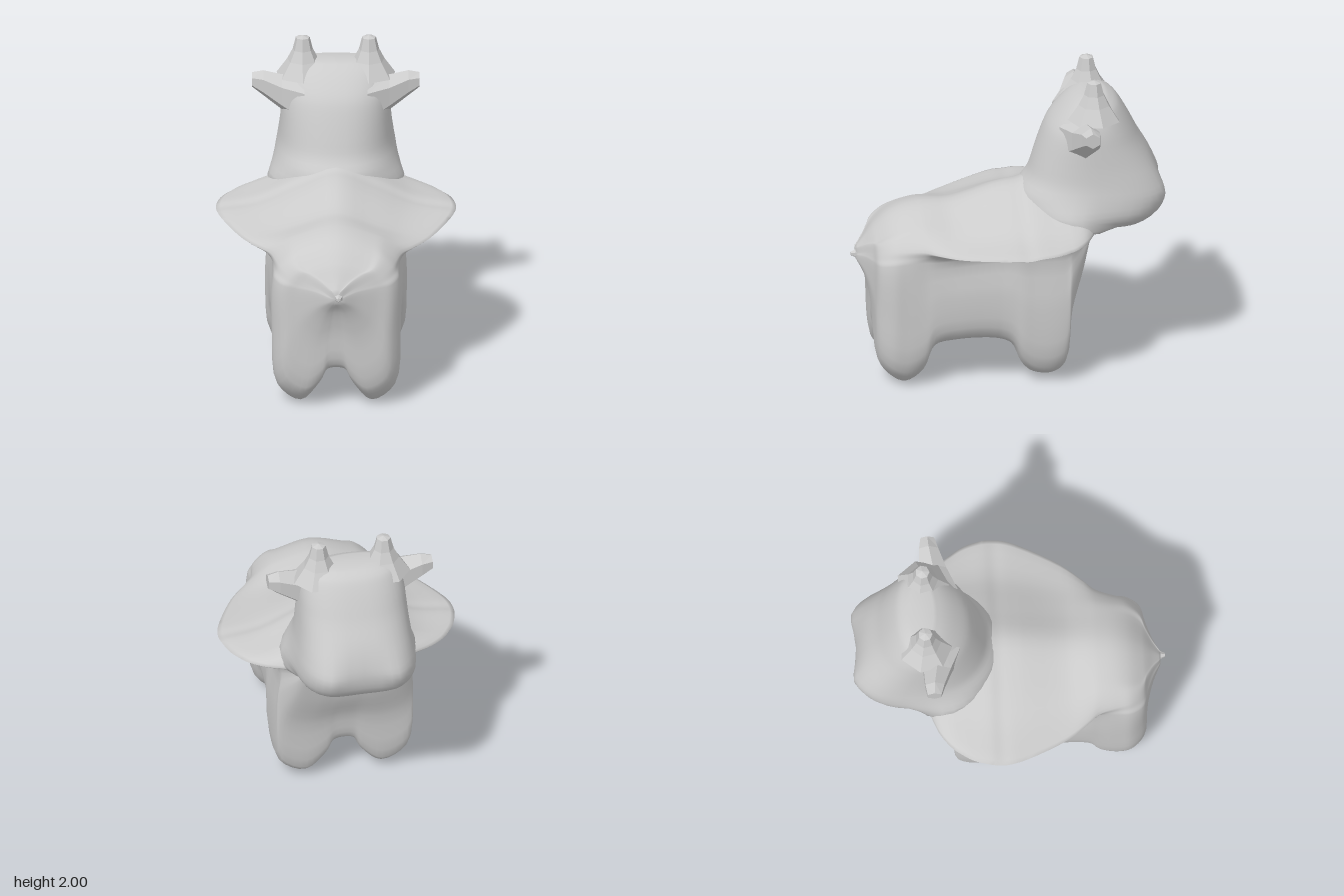
import * as THREE from 'three';

const smooth = new THREE.MeshStandardMaterial({ color: 0xcccccc, side: THREE.DoubleSide });
const faceted = new THREE.MeshStandardMaterial({ color: 0xcccccc, flatShading: true });

const V = (x, y, z) => new THREE.Vector3(x, y, z);
const { lerp } = THREE.MathUtils;

// Insert spline points along a list of points
function refine(points, closed, steps) {
  const curve = new THREE.CatmullRomCurve3(points, closed, 'centripetal');
  const n = (closed ? points.length : points.length - 1) * steps;
  return Array.from({ length: closed ? n : n + 1 }, (_, i) => curve.getPoint(i / n));
}

// Skin closed rings into a surface with both ends capped
function loft(rings, around = 1, along = 1) {
  if (around > 1) rings = rings.map(r => refine(r, true, around));
  if (along > 1) {
    const columns = rings[0].map((_, j) => refine(rings.map(r => r[j]), false, along));
    rings = columns[0].map((_, i) => columns.map(c => c[i]));
  }
  const n = rings[0].length, last = rings.length - 1;
  const points = rings.flat(), index = [];
  for (let i = 0; i < last; i++) for (let j = 0; j < n; j++) {
    const k = (j + 1) % n, a = i * n + j, b = i * n + k;
    index.push(a, b, a + n, b, b + n, a + n);
  }
  for (const i of [0, last]) {
    const centre = rings[i].reduce((s, p) => s.add(p), V(0, 0, 0)).divideScalar(n);
    const c = points.push(centre) - 1;
    for (let j = 0; j < n; j++) {
      const a = i * n + j, b = i * n + (j + 1) % n;
      index.push(...(i ? [a, b, c] : [b, a, c]));
    }
  }
  const geometry = new THREE.BufferGeometry().setFromPoints(points);
  geometry.setIndex(index);
  geometry.computeVertexNormals();
  return geometry;
}

// Body slice: half outline from the spine, over the wing, down the leg to the belly, then mirrored
function bodyRing([z, top, wingX, wingY, half, outerY, footY, belly]) {
  const flare = Math.max(0, wingX - 0.42);
  const shoulder = [half * 0.55, top - 0.14 * half - flare * 0.08];
  const under = [half, wingY - 0.2 * half];
  const outline = [
    [0, top],
    shoulder,
    [lerp(shoulder[0], wingX, 0.5), lerp(shoulder[1], wingY, 0.5) + 0.02 - flare * 0.16],
    [wingX, wingY],
    [lerp(wingX, under[0], 0.5), lerp(wingY, under[1], flare > 0 ? 0.3 : 0.5)],
    under,
    [half * 1.02, (under[1] + outerY) / 2],
    [half * 0.93, outerY],
    [half * 0.56, footY],
    [half * 0.27, lerp(footY, belly, 0.5)],
    [half * 0.15, lerp(footY, belly, 0.93)],
    [0, belly],
  ];
  const mirrored = outline.slice(1, -1).reverse().map(([x, y]) => [-x, y]);
  return [...outline, ...mirrored].map(([x, y]) => V(x, y, z));
}

// Head slice: round nape flaring towards the wings, squarer face with a dented muzzle
function headRing([y, back, front, half]) {
  return Array.from({ length: 40 }, (_, i) => {
    const a = (i / 40) * Math.PI * 2, c = Math.cos(a), s = Math.sin(a);
    const e = s > 0 ? 2 / lerp(2.9, 2.3, Math.max(0, (y - 1.2) / 0.64)) : 2 / 2.2;
    const d = Math.sign(s) * Math.abs(s) ** e;
    const skirt = 0.12 * Math.max(0, (1.3 - y) / 0.3) ** 2 * Math.max(0, 1 - ((d + 0.35) / 0.5) ** 2);
    const x = Math.sign(c) * (Math.abs(c) ** e * half + skirt);
    const dent = 0.06 * Math.max(0, d) ** 4 * Math.max(0, 1 - (x / 0.22) ** 2) * Math.max(0, 1 - Math.abs(y - 1.2) / 0.25);
    return V(x, y, (back + front) / 2 - d * (back - front) / 2 + dent);
  });
}

// Ear slice facing sideways
function earRing([x, y, z, ry, rz], side) {
  return Array.from({ length: 6 }, (_, i) => {
    const a = side * (i / 6) * Math.PI * 2;
    return V(side * x, y + Math.cos(a) * ry, z + Math.sin(a) * rz);
  });
}

export function createModel() {
  const model = new THREE.Group();
  const add = (name, geometry, material) => {
    const mesh = new THREE.Mesh(geometry, material);
    mesh.name = name;
    model.add(mesh);
    return mesh;
  };

  // Trunk, legs and wing sheets: z, top, wing x, wing y, half width, outer foot y, foot y, belly y
  const body = [
    [0.97, 0.835, 0.03, 0.80, 0.035, 0.77, 0.765, 0.76],
    [0.92, 0.90, 0.11, 0.84, 0.13, 0.70, 0.67, 0.68],
    [0.88, 0.955, 0.20, 0.87, 0.24, 0.56, 0.48, 0.53],
    [0.85, 0.99, 0.28, 0.90, 0.34, 0.22, 0.14, 0.30],
    [0.77, 1.06, 0.35, 0.93, 0.395, 0.14, 0.04, 0.25],
    [0.68, 1.105, 0.38, 0.94, 0.40, 0.11, 0.00, 0.25],
    [0.57, 1.13, 0.42, 0.95, 0.40, 0.17, 0.07, 0.25],
    [0.50, 1.135, 0.48, 0.95, 0.405, 0.31, 0.24, 0.26],
    [0.36, 1.14, 0.59, 0.96, 0.41, 0.35, 0.27, 0.27],
    [0.10, 1.22, 0.72, 0.99, 0.42, 0.35, 0.27, 0.27],
    [0.01, 1.24, 0.75, 1.00, 0.43, 0.31, 0.24, 0.27],
    [-0.06, 1.25, 0.76, 1.00, 0.44, 0.19, 0.10, 0.26],
    [-0.13, 1.27, 0.755, 1.01, 0.44, 0.13, 0.04, 0.25],
    [-0.25, 1.27, 0.72, 1.01, 0.44, 0.12, 0.03, 0.25],
    [-0.33, 1.27, 0.67, 1.01, 0.435, 0.18, 0.09, 0.30],
    [-0.37, 1.27, 0.64, 1.01, 0.42, 0.50, 0.45, 0.49],
    [-0.45, 1.24, 0.54, 1.015, 0.34, 0.75, 0.70, 0.69],
    [-0.51, 1.15, 0.40, 1.02, 0.26, 0.97, 0.97, 0.97],
  ];
  add('bodyWithLegsAndWings', loft(body.map(bodyRing), 4, 4), smooth);

  // Neck and head: y, nape z, face z, half width
  const head = [
    [0.995, -0.40, -0.80, 0.22],
    [1.02, -0.28, -0.88, 0.32],
    [1.09, -0.06, -0.97, 0.385],
    [1.20, -0.06, -1.02, 0.385],
    [1.30, -0.125, -0.985, 0.37],
    [1.42, -0.165, -0.915, 0.355],
    [1.55, -0.21, -0.835, 0.345],
    [1.65, -0.255, -0.785, 0.335],
    [1.74, -0.33, -0.735, 0.31],
    [1.80, -0.40, -0.69, 0.275],
    [1.84, -0.47, -0.62, 0.19],
  ];
  add('neckAndHead', loft(head.map(headRing), 1, 3), smooth);

  // Ears: x, y, z, radius y, radius z
  const ear = [
    [0.20, 1.59, -0.43, 0.18, 0.14],
    [0.34, 1.635, -0.46, 0.12, 0.10],
    [0.46, 1.69, -0.48, 0.085, 0.07],
    [0.53, 1.71, -0.485, 0.05, 0.05],
  ];
  // Horns, flaring into the crown: radius, y
  const horn = [[0.17, 1.73], [0.10, 1.83], [0.065, 1.90], [0.045, 1.98], [0, 1.995]];
  const hornProfile = horn.map(([r, y]) => new THREE.Vector2(r, y));
  for (const side of [1, -1]) {
    const name = side > 0 ? 'left' : 'right';
    add(name + 'Ear', loft(ear.map(r => earRing(r, side))), faceted);
    add(name + 'Horn', new THREE.LatheGeometry(hornProfile, 7), faceted).position.set(side * 0.21, 0, -0.53);
  }

  // Stub of a tail
  const tail = add('tail', new THREE.CylinderGeometry(0.012, 0.05, 0.08, 6), faceted);
  tail.rotation.x = Math.PI / 2;
  tail.position.set(0.015, 0.795, 0.96);

  return model;
}
